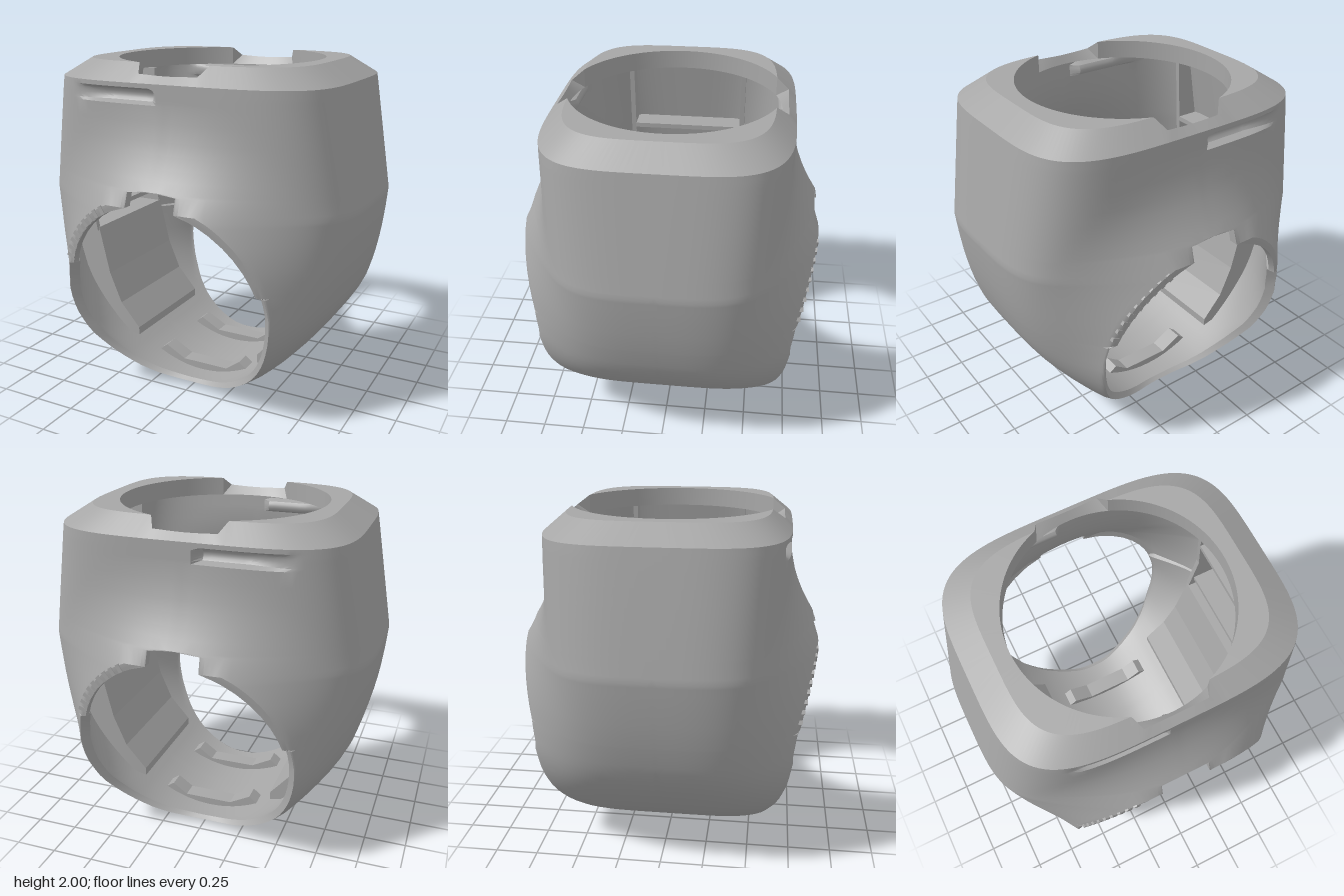
import * as THREE from 'three';
import { mergeVertices, toCreasedNormals } from 'three/addons/utils/BufferGeometryUtils.js';

const CY = 0.65;   // height of the round port centre
const N = 40;      // columns per quarter section
const DEPTH = 0.69;

// Piecewise linear lookup in [[key, value], ...]
function lookup(table, k) {
  if (k <= table[0][0]) return table[0][1];
  for (let i = 1; i < table.length; i++) {
    const [k0, v0] = table[i - 1], [k1, v1] = table[i];
    if (k <= k1) return v0 + (v1 - v0) * (k - k0) / (k1 - k0);
  }
  return table[table.length - 1][1];
}
const halfWidth = [[0.65, 0.88], [0.75, 0.912], [0.85, 0.936], [0.95, 0.955], [1.1, 0.974], [1.22, 0.985], [1.9, 0.86]];
const bowlRadius = [[0, 0.65], [20, 0.652], [32, 0.657], [45, 0.67], [57, 0.701], [67, 0.738], [76, 0.787], [83, 0.833], [90, 0.88]];
const rimDepth = [[0.03, 0.44], [0.06, 0.48], [0.1, 0.515], [0.2, 0.58], [0.35, 0.67], [0.5, 0.72], [0.65, 0.745], [0.83, 0.77], [1.25, 0.87]];
const chord = (R, y) => Math.sqrt(R * R - (y - CY) ** 2);

// Rounded-square point for angle a: a higher n gives a tighter corner
const squircle = (a, n) => [Math.max(0, Math.cos(a)) ** (2 / n), Math.max(0, Math.sin(a)) ** (2 / n)];
// Column j's angle, running from a0 to 0 and packed toward both ends
const columnAngle = (a0, j) => a0 * (1 - (j / N) ** 2 * (3 - 2 * j / N));

// A row starts at the port rim (or the centre line) and runs out to the side of the shell
function makeRows() {
  const rows = [];
  const swellAt = (r, s, n, z) => z / (DEPTH * (1 - (r / s) ** n) ** (1 / n)) - 1;
  for (let i = 0; i <= 18; i++) {
    const deg = i * 5, t = deg * Math.PI / 180, f = i / 18;
    const r0 = 0.615 + 0.04 * f, s = lookup(bowlRadius, deg), n = 6 - 2.3 * f;
    const k = swellAt(r0, s, n, lookup(rimDepth, CY - r0 * Math.cos(t)));
    rows.push({ oy: CY, dx: Math.sin(t), dy: -Math.cos(t), r0, s, k, inset: 0.015 + 0.025 * f, n, hole: true });
  }
  const level = (y, r0, inset, hole) => {
    const s = lookup(halfWidth, y);
    const n = 3.7 + 0.4 * THREE.MathUtils.clamp((y - 1.25) / 0.6, 0, 1);
    const k = y < 1.25 ? swellAt(chord(0.64, y), s, n, lookup(rimDepth, y)) : 0.26;
    rows.push({ oy: y, dx: 1, dy: 0, r0, s, k, inset, n, hole });
  };
  for (const y of [0.7, 0.76, 0.822]) level(y, chord(0.655, y), chord(0.655, y) - chord(0.615, y), true);
  for (const y of [0.832, 0.9, 0.97, 1.04, 1.1, 1.16, 1.2, 1.22, 1.25]) level(y, chord(0.619, y), 0, true);
  level(1.335, 0.15, 0, true);
  level(1.348, 0, 0, true);
  for (const y of [1.4, 1.46, 1.53, 1.6, 1.7, 1.785, 1.8, 1.815, 1.83, 1.845, 1.86, 1.875, 1.9]) level(y, 0, 0, false);
  return rows;
}

// Points of one row in the +x +z quarter
function section(row, inner, slotted) {
  const { oy, dx, dy, r0, s, k, inset, n } = row;
  const a0 = Math.acos((r0 / s) ** (n / 2));
  const pts = [];
  for (let j = 0; j <= N; j++) {
    const [c, d] = squircle(columnAngle(a0, j), n);
    let r = j === 0 ? r0 : s * c;
    const x = dx * r, y = oy + dy * r, rad = Math.hypot(x, y - CY);
    // Swelling around the port, reaching further above it than beside it
    const reach = 0.24 + 0.26 * Math.max(0, (y - CY) / rad);
    const swell = THREE.MathUtils.clamp(1 - (rad - 0.66) / reach, 0, 1) ** 2;
    let z = DEPTH * d * (1 + k * swell);
    // Scooped slot near the top
    const v = (y - 1.83) / 0.045;
    if (slotted && Math.abs(v) < 1 && x > 0.07 && x < 0.61) {
      z -= 0.06 * Math.sqrt(1 - v * v) * Math.min(1, (0.61 - x) / 0.25);
    }
    if (inner) {
      r = r0 - inset + (r - r0) * (s - 0.045 - r0 + inset) / (s - r0);
      z *= 0.94;
    }
    pts.push([dx * r, oy + dy * r, z]);
  }
  return pts;
}

// Top chamfer, flat ring, notched round opening, its wall and the ceiling
function topRows(edge, innerEdge) {
  const flat = [], lip = [], wall = [];
  const R = 0.615;
  edge.forEach((p, j) => {
    const [c, d] = squircle(columnAngle(Math.PI / 2, j), 4);
    const x = 0.705 * c, z = 0.575 * d, q = Math.hypot(x, z);
    const wx = x * R / q, wz = z * R / q;
    // The two notches slope outward from the opening
    const [lx, lz] = x < 0.19 ? [x, 0.645] : [wx, wz];
    const lr = Math.hypot(lx, lz), cut = q < lr;
    const y = cut ? 2 - 0.1 * (lr - q) / (Math.hypot(p[0], p[2]) - q) : 2;
    flat.push(cut ? [lx, y, lz] : [x, 2, z]);
    lip.push([lx, y, lz]);
    wall.push([wx, 1.89, wz]);
  });
  return [flat, lip, wall, innerEdge];
}

function shellGeometry() {
  const rows = makeRows(), pos = [];
  const addGrid = (g, sx, sz, flip) => {
    const put = (...ps) => ps.forEach(p => pos.push(p[0] * sx, p[1], p[2] * sz));
    const rev = (sx * sz < 0) !== flip;
    for (let i = 0; i + 1 < g.length; i++) {
      for (let j = 0; j + 1 < g[i].length; j++) {
        const a = g[i][j], b = g[i][j + 1], c = g[i + 1][j + 1], d = g[i + 1][j];
        if (rev) put(a, c, b, a, d, c); else put(a, b, c, a, c, d);
      }
    }
  };
  for (const sx of [1, -1]) for (const sz of [1, -1]) {
    const outer = rows.map(r => section(r, false, sx < 0));
    const inner = rows.map(r => section(r, true, sx < 0));
    const rim = rows.map((r, i) => [inner[i][0], outer[i][0]]).filter((_, i) => rows[i].hole);
    const last = rows.length - 1;
    addGrid([...outer, ...topRows(outer[last], inner[last])], sx, sz, false);
    addGrid(inner, sx, sz, true);
    addGrid(rim, sx, sz, false);
  }
  const geo = new THREE.BufferGeometry();
  geo.setAttribute('position', new THREE.Float32BufferAttribute(pos, 3));
  return toCreasedNormals(mergeVertices(geo, 1e-4), 0.5);
}

export function createModel() {
  const group = new THREE.Group();
  const grey = new THREE.MeshStandardMaterial({ color: 0xa6a6a6 });
  grey.name = 'grey';
  const add = (name, geo) => {
    const m = new THREE.Mesh(geo, grey);
    m.name = name;
    group.add(m);
    return m;
  };
  // Flat profile in x, y extruded along z and centred on z
  const slab = (name, pts, depth, z = 0) => {
    const shape = new THREE.Shape(pts.map(p => new THREE.Vector2(p[0], p[1])));
    const geo = new THREE.ExtrudeGeometry(shape, { depth, bevelEnabled: false });
    add(name, geo.translate(0, 0, z - depth / 2));
  };

  add('shell', shellGeometry());

  for (const s of [1, -1]) {
    const flip = pts => pts.map(([x, y]) => [x * s, y]);
    // Sloping inner side panels
    slab('sidePanel', flip([[0.42, 0.23], [0.42, 0.28], [0.55, 0.43], [0.63, 0.62], [0.7, 0.92], [0.9, 0.92], [0.83, 0.65], [0.68, 0.4], [0.51, 0.25]]), 0.74);
    // Upright and cross ribs on the inner side walls
    for (const z of [0.37, -0.37]) {
      slab('uprightRib', flip([[0.7, 0.9], [0.75, 1.2], [0.71, 1.86], [0.8, 1.86], [0.91, 1.22], [0.88, 0.9]]), 0.03, z);
    }
    for (const y of [1.0, 1.42]) {
      add('crossRib', new THREE.BoxGeometry(0.15, 0.03, 0.72)).position.set(s * 0.81, y, 0);
    }
    // Raised cradles on the floor
    slab('floorCradle', [[-0.31, 0.12], [-0.26, 0.16], [-0.13, 0.09], [0.17, 0.09], [0.26, 0.155], [0.31, 0.12], [0.29, 0.085], [0, 0.03], [-0.29, 0.085]], 0.1, s * 0.24);

    // Grip teeth along one side of each port
    for (let i = 0; i < 9; i++) {
      const t = (119 + i * 5) * Math.PI / 180;
      const y = CY + 0.645 * Math.sin(t);
      const tooth = add('gripTooth', new THREE.BoxGeometry(0.05, 0.024, 0.03));
      tooth.position.set(s * 0.645 * Math.cos(t), y, s * (lookup(rimDepth, y) - 0.01));
      tooth.rotation.z = s * t;
    }
  }
  return group;
}
